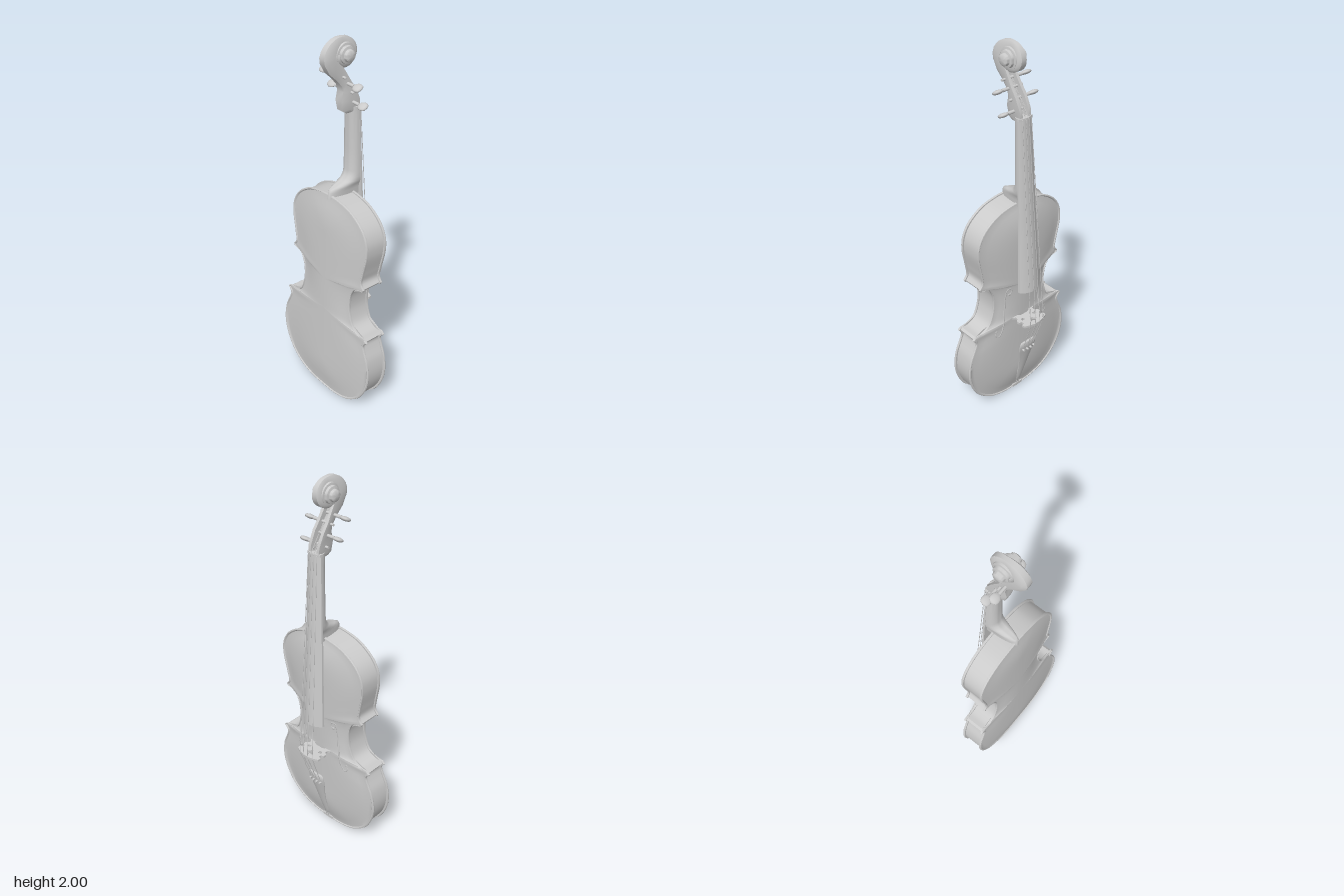
import * as THREE from 'three';
import { toCreasedNormals } from 'three/addons/utils/BufferGeometryUtils.js';

const V = (x, y, z) => new THREE.Vector3(x, y, z);
const mat = new THREE.MeshStandardMaterial({ color: 0xcccccc, roughness: 0.6 });

function add(parent, name, geo) {
  const m = new THREE.Mesh(geo, mat);
  m.name = name;
  parent.add(m);
  return m;
}

// Skin a list of equal-length rings; faces are turned outward by signed volume.
function loft(rings, caps = true, crease = 0.7) {
  const n = rings[0].length, pts = rings.flat(), idx = [];
  for (let i = 0; i < rings.length - 1; i++) {
    for (let j = 0; j < n; j++) {
      const a = i * n + j, b = i * n + (j + 1) % n;
      idx.push(a, b, b + n, a, b + n, a + n);
    }
  }
  if (caps) {
    for (const [r, flip] of [[0, true], [rings.length - 1, false]]) {
      const c = pts.length;
      const mid = V(0, 0, 0);
      rings[r].forEach(p => mid.addScaledVector(p, 1 / n));
      pts.push(mid);
      for (let j = 0; j < n; j++) {
        const a = r * n + j, b = r * n + (j + 1) % n;
        idx.push(...(flip ? [b, a, c] : [a, b, c]));
      }
    }
  }
  const centre = V(0, 0, 0);
  pts.forEach(p => centre.addScaledVector(p, 1 / pts.length));
  let vol = 0;
  for (let i = 0; i < idx.length; i += 3) {
    const [a, b, c] = [0, 1, 2].map(k => pts[idx[i + k]].clone().sub(centre));
    vol += a.dot(b.cross(c));
  }
  if (vol < 0) idx.reverse();
  const g = new THREE.BufferGeometry().setFromPoints(pts);
  g.setIndex(idx);
  return toCreasedNormals(g, crease);
}

const curve = pts => new THREE.CatmullRomCurve3(pts.map(p => V(p[0], p[1], p[2] || 0)), false, 'centripetal');
const tube = (pts, r, seg = 24) => new THREE.TubeGeometry(curve(pts), seg, r, 6);
function rod(a, b, r) {
  return new THREE.TubeGeometry(new THREE.LineCurve3(V(...a), V(...b)), 1, r, 6);
}

// Body outline: lower bout, waist and upper bout, meeting at sharp corners.
function bodyOutline() {
  const parts = [
    [[0, 0.004], [0.1, 0.009], [0.2, 0.04], [0.285, 0.11], [0.333, 0.2], [0.347, 0.28], [0.335, 0.37], [0.306, 0.44], [0.296, 0.475], [0.318, 0.505]],
    [[0.318, 0.505], [0.306, 0.515]],
    [[0.306, 0.515], [0.265, 0.517], [0.215, 0.545], [0.187, 0.61], [0.18, 0.67], [0.19, 0.74], [0.22, 0.786], [0.268, 0.797]],
    [[0.268, 0.797], [0.274, 0.808]],
    [[0.274, 0.808], [0.255, 0.835], [0.262, 0.89], [0.282, 1.0], [0.276, 1.07], [0.24, 1.135], [0.155, 1.195], [0.06, 1.218], [0, 1.222]],
  ];
  const counts = [50, 2, 36, 2, 46];
  const half = parts.flatMap((p, i) => curve(p).getSpacedPoints(counts[i]).slice(i ? 1 : 0));
  const other = half.slice(1, -1).reverse().map(p => V(-p.x, p.y, 0));
  return half.concat(other);
}

function buildBody(g) {
  const outline = bodyOutline();
  // Shrink the outline towards a spine line by factor s.
  const ring = (s, z) => outline.map(p => {
    const ys = 0.22 + p.y * 0.656;
    return V(p.x * s, ys + (p.y - ys) * s, z);
  });
  // Arched plate with a raised rim and a shallow channel inside it.
  const plate = (dir, H) => loft([
    [0.95, -0.006], [0.994, -0.006], [1, 0], [0.992, 0.006], [0.975, 0.007], [0.955, 0.002], [0.91, 0.003],
    [0.8, H * 0.27], [0.65, H * 0.53], [0.45, H * 0.79], [0.25, H * 0.94], [0.1, H * 0.99], [0.005, H],
  ].map(([s, t]) => ring(s, dir * (0.058 + t))));
  add(g, 'backPlate', plate(1, 0.024));
  const belly = add(g, 'bellyPlate', plate(-1, 0.037));
  add(g, 'ribs', loft([ring(0.965, -0.056), ring(0.965, 0.056)], false));

  // Sound holes follow the arched belly.
  const ray = new THREE.Raycaster();
  const onBelly = (x, y) => {
    ray.set(V(x, y, -1), V(0, 0, 1));
    const hit = ray.intersectObject(belly)[0];
    return [x, y, (hit ? hit.point.z : -0.075) + 0.003];
  };
  for (const s of [-1, 1]) {
    const path = [[0.088, 0.705], [0.078, 0.72], [0.085, 0.742], [0.103, 0.738], [0.112, 0.7], [0.117, 0.62],
      [0.13, 0.53], [0.145, 0.475], [0.165, 0.458], [0.18, 0.475], [0.172, 0.495]].map(([x, y]) => onBelly(s * x, y));
    add(g, 'soundHole', tube(path, 0.005, 60));
    for (const p of [path[0], path[path.length - 1]]) {
      const eye = add(g, 'soundHoleEye', new THREE.SphereGeometry(0.011, 12, 8));
      eye.scale.z = 0.4;
      eye.position.set(...p);
    }
  }
}

function buildNeck(g) {
  // y, half width, back z, front z
  const st = [[1.665, 0.04, -0.018, -0.066], [1.6, 0.042, -0.026, -0.07], [1.45, 0.046, -0.033, -0.08], [1.33, 0.05, -0.038, -0.088],
    [1.3, 0.05, -0.032, -0.09], [1.278, 0.048, -0.01, -0.091], [1.262, 0.042, 0.035, -0.092], [1.25, 0.037, 0.062, -0.093],
    [1.235, 0.035, 0.07, -0.093], [1.2, 0.033, 0.073, -0.093]];
  add(g, 'neck', loft(st.map(([y, w, b, f]) => Array.from({ length: 17 }, (_, i) => {
    const a = Math.PI * i / 16;
    return V(w * Math.cos(a), y, f + (b - f) * Math.sin(a) ** 0.8);
  })), true, 0.9));

  // Fingerboard: flat underneath, rounded on the playing side.
  const board = (y, w, bottom, edge, top) => [V(w, y, bottom), ...Array.from({ length: 13 }, (_, i) => {
    const t = 1 - i / 6;
    return V(w * t, y, top + (edge - top) * t * t);
  }), V(-w, y, bottom)];
  add(g, 'fingerboard', loft([board(1.655, 0.042, -0.063, -0.07, -0.08), board(0.73, 0.068, -0.125, -0.138, -0.168)], true, 0.4));
  add(g, 'nut', loft([board(1.668, 0.041, -0.06, -0.074, -0.084), board(1.655, 0.042, -0.06, -0.074, -0.085)], true, 0.4));
}

function buildScroll(g) {
  // back y, back z, front y, front z, half width, groove depth
  const st = [[1.635, -0.03, 1.655, -0.066, 0.03, 0.02], [1.637, -0.005, 1.662, -0.074, 0.032, 0.02], [1.65, 0.018, 1.672, -0.074, 0.033, 0.5],
    [1.7, 0.03, 1.7, -0.07, 0.035, 0.6], [1.745, 0.022, 1.76, -0.04, 0.036, 0.6], [1.775, 0.03, 1.8, -0.01, 0.035, 0.55],
    [1.81, 0.062, 1.84, 0.015, 0.032, 0.5], [1.845, 0.102, 1.872, 0.036, 0.03, 0.02]];
  const cy = 1.926, cz = 0.02;
  for (let i = 0; i <= 28; i++) {
    const a = -0.3 + i * 0.24, c = Math.cos(a), s = Math.sin(a);
    const R = 0.075 + 0.041 * Math.max(0, 1 - Math.max(a, 0) / 1.57) ** 1.3 - 0.007 * Math.max(0, a - 3.14);
    const hw = a < 1.57 ? 0.027 - 0.006 * a : 0.0176 + (a - 1.57) * 0.0045;
    st.push([cy + R * s, cz + R * c, cy + R * 0.5 * s, cz + R * 0.5 * c, hw, 0.02]);
  }
  add(g, 'pegboxAndScroll', loft(st.map(([by, bz, fy, fz, w, d]) =>
    [[-1, 1], [-0.97, 0.35], [-0.6, 0], [0.6, 0], [0.97, 0.35], [1, 1], [0.55, 1], [0.55, 1 - d], [-0.55, 1 - d], [-0.55, 1]]
      .map(([x, t]) => V(x * w, by + (fy - by) * t, bz + (fz - bz) * t))), true, 0.8));

  // Stepped volutes ending in the scroll eye.
  const side = [[0.054, 0.018], [0.052, 0.028], [0.042, 0.03], [0.04, 0.043], [0.029, 0.046], [0.027, 0.06], [0.02, 0.065], [0, 0.066]];
  const prof = [...side.map(([r, x]) => new THREE.Vector2(r, -x)).reverse(), ...side.map(([r, x]) => new THREE.Vector2(r, x))];
  const eye = add(g, 'scrollEye', toCreasedNormals(new THREE.LatheGeometry(prof, 28), 0.6));
  eye.rotation.z = Math.PI / 2;
  eye.position.set(0, cy, cz);
}

// Tuning pegs alternate between the two sides.
const pegs = [[-1, 1.825, 0.035], [1, 1.79, 0.008], [-1, 1.743, -0.015], [1, 1.692, -0.03]];
function buildPegs(g) {
  const knob = [[0, 0.07], [0.008, 0.07], [0.01, 0.075], [0.017, 0.079], [0.023, 0.09], [0.024, 0.104], [0.019, 0.117], [0.009, 0.122], [0, 0.123]]
    .map(p => new THREE.Vector2(...p));
  for (const [s, y, z] of pegs) {
    const peg = new THREE.Group();
    peg.name = 'tuningPeg';
    add(peg, 'pegShaft', new THREE.CylinderGeometry(0.0085, 0.006, 0.127, 12)).position.y = 0.0115;
    add(peg, 'pegKnob', new THREE.LatheGeometry(knob, 20)).scale.x = 0.45;
    peg.rotation.set(0.5, 0, -s * Math.PI / 2, 'XYZ');
    peg.position.set(0, y, z);
    g.add(peg);
  }
}

function buildBridge(g) {
  const half = [[0.022, 0.018], [0.036, 0.012], [0.04, 0], [0.074, 0], [0.074, 0.008], [0.06, 0.017], [0.062, 0.032], [0.077, 0.042],
    [0.077, 0.06], [0.062, 0.064], [0.06, 0.078], [0.077, 0.082], [0.076, 0.1], [0.045, 0.113], [0.02, 0.119]];
  const pts = [...half, ...half.map(([x, y]) => [-x, y]).reverse()].map(p => new THREE.Vector2(...p));
  const shape = new THREE.Shape(pts);
  const hole = list => shape.holes.push(new THREE.Path(list.map(p => new THREE.Vector2(...p))));
  hole([[0, 0.058], [0.014, 0.082], [0.024, 0.092], [0.006, 0.09], [0, 0.098], [-0.006, 0.09], [-0.024, 0.092], [-0.014, 0.082]]);
  for (const s of [-1, 1]) hole([[s * 0.035, 0.04], [s * 0.05, 0.046], [s * 0.052, 0.056], [s * 0.036, 0.058], [s * 0.03, 0.048]]);
  const b = add(g, 'bridge', new THREE.ExtrudeGeometry(shape, { depth: 0.012, bevelEnabled: false }));
  b.rotation.x = -Math.PI / 2;
  b.position.set(0, 0.536, -0.088);
}

function buildTailpiece(g) {
  // y, half width, z of the outer face
  const st = [[0.382, 0.042, -0.147], [0.374, 0.053, -0.149], [0.35, 0.057, -0.147], [0.31, 0.051, -0.139], [0.25, 0.037, -0.126],
    [0.17, 0.026, -0.109], [0.08, 0.02, -0.084], [0.05, 0.017, -0.075], [0.04, 0.01, -0.071]];
  add(g, 'tailpiece', loft(st.map(([y, w, z]) => [[-1, 0.012], [-1, 0.008], [-0.6, 0.002], [0, 0], [0.6, 0.002], [1, 0.008], [1, 0.012]]
    .map(([x, t]) => V(x * w, y, z + t)))));
  for (const s of [-1, 1]) add(g, 'tailGut', rod([s * 0.008, 0.06, -0.072], [s * 0.008, 0.004, -0.064], 0.003));
  add(g, 'saddle', new THREE.BoxGeometry(0.07, 0.016, 0.014)).position.set(0, 0.014, -0.061);
}

function buildStrings(g) {
  for (let i = 0; i < 4; i++) {
    const t = (i - 1.5) / 1.5, sag = 0.007 * t * t;
    const [, py, pz] = pegs[[2, 0, 1, 3][i]];
    const nut = [t * 0.028, 1.66, -0.087 + sag * 0.6], top = [t * 0.046, 0.542, -0.208 + sag], tail = [t * 0.036, 0.355, -0.149 + sag * 0.5];
    const path = [[t * 0.013, py, pz - 0.008], nut, top, tail];
    for (let k = 0; k < 3; k++) add(g, 'string', rod(path[k], path[k + 1], 0.0018));
    const tuner = add(g, 'fineTuner', new THREE.CylinderGeometry(0.006, 0.006, 0.016, 10));
    tuner.rotation.x = Math.PI / 2;
    tuner.position.set(t * 0.036, 0.335, -0.15 + sag * 0.5);
  }
}

export function createModel() {
  const violin = new THREE.Group();
  violin.name = 'violin';
  [buildBody, buildNeck, buildScroll, buildPegs, buildBridge, buildTailpiece, buildStrings].forEach(f => f(violin));
  // The instrument leans slightly, with its back towards the front.
  violin.rotation.set(-0.042, 0, -0.01);
  violin.position.set(-0.004, 0, 0.085);
  const model = new THREE.Group();
  model.name = 'model';
  model.add(violin);
  return model;
}
